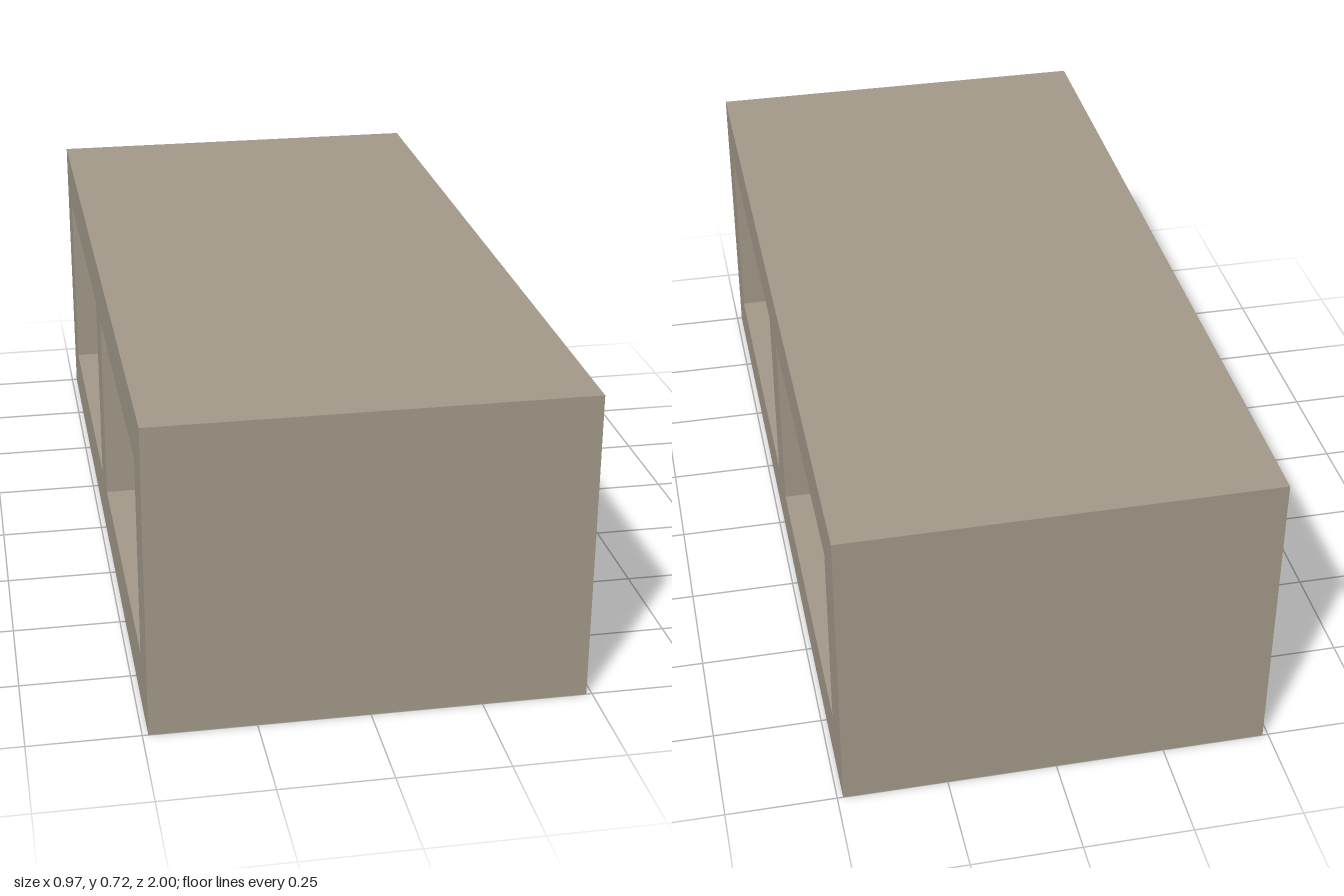
import * as THREE from 'three';

const WIDTH = 0.974, HEIGHT = 0.72, LENGTH = 2;

// Rectangular outline from two opposite corners
function rect(path, x0, y0, x1, y1) {
  path.moveTo(x0, y0);
  path.lineTo(x1, y0);
  path.lineTo(x1, y1);
  path.lineTo(x0, y1);
  path.closePath();
  return path;
}

export function createModel() {
  const concrete = new THREE.MeshStandardMaterial({ color: 0xa59b8b });
  concrete.name = 'concrete';

  // Side profile of the block with two hollow cores
  const profile = rect(new THREE.Shape(), -LENGTH / 2, 0, LENGTH / 2, HEIGHT);
  for (const [start, end] of [[-0.873, -0.062], [0.062, 0.873]]) {
    profile.holes.push(rect(new THREE.Path(), start, 0.13, end, 0.594));
  }

  // Extrude across the width, then turn the profile to run along z
  const geometry = new THREE.ExtrudeGeometry(profile, { depth: WIDTH, bevelEnabled: false });
  geometry.translate(0, 0, -WIDTH / 2);
  geometry.rotateY(-Math.PI / 2);

  const block = new THREE.Mesh(geometry, concrete);
  block.name = 'hollowBlock';

  const model = new THREE.Group();
  model.name = 'cinderBlock';
  model.add(block);
  return model;
}
